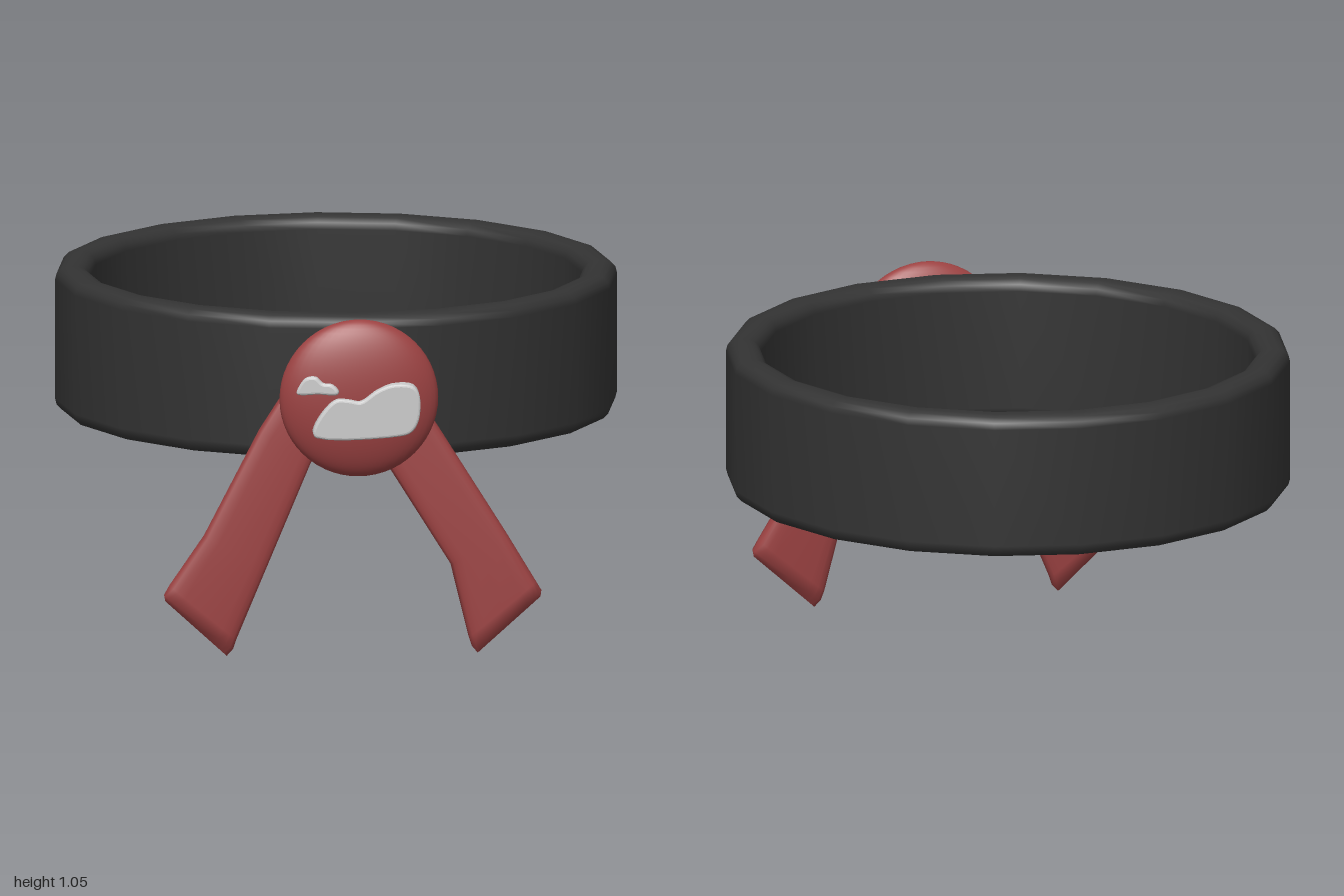
import * as THREE from 'three';

const mat = (color) => new THREE.MeshStandardMaterial({ color });

function addMesh(group, name, geometry, material) {
  const mesh = new THREE.Mesh(geometry, material);
  mesh.name = name;
  group.add(mesh);
  return mesh;
}

// Hoop: rounded-rectangle profile turned around y in 20 sides
function bandGeometry() {
  const r0 = 0.79, r1 = 0.9, y0 = 0.598, y1 = 1.045, c = 0.04;
  const corners = [[r1 - c, y0 + c, -90], [r1 - c, y1 - c, 0], [r0 + c, y1 - c, 90], [r0 + c, y0 + c, 180]];
  const pts = [];
  for (const [x, y, start] of corners) {
    for (let i = 0; i <= 3; i++) {
      const a = THREE.MathUtils.degToRad(start + i * 30);
      pts.push(new THREE.Vector2(x + c * Math.cos(a), y + c * Math.sin(a)));
    }
  }
  pts.push(pts[0].clone());
  return new THREE.LatheGeometry(pts, 20).scale(0.86 / 0.9, 1, 1).translate(0, 0, -0.1);
}

// Ribbon lofted downward through rows of [ax, ay, bx, by, z, half thickness]
function ribbonGeometry(rows) {
  const sides = 20, pos = [], idx = [];
  const soft = (v) => Math.sign(v) * Math.sqrt(Math.abs(v));
  for (const [ax, ay, bx, by, z, t] of rows) {
    for (let j = 0; j < sides; j++) {
      const a = (j / sides) * Math.PI * 2;
      const u = soft(Math.cos(a)) / 2;
      pos.push((ax + bx) / 2 + (bx - ax) * u, (ay + by) / 2 + (by - ay) * u, z + t * soft(Math.sin(a)));
    }
  }
  for (let i = 0; i < rows.length - 1; i++) {
    for (let j = 0; j < sides; j++) {
      const k = (j + 1) % sides;
      const a = i * sides + j, b = i * sides + k, c = b + sides, d = a + sides;
      idx.push(a, b, c, a, c, d);
    }
  }
  const g = new THREE.BufferGeometry();
  g.setAttribute('position', new THREE.Float32BufferAttribute(pos, 3));
  g.setIndex(idx);
  g.computeVertexNormals();
  return g;
}

// Raised patch: smooth closed outline, extruded with a soft rim, front at zFront
function patchGeometry(outline, depth, zFront, turn) {
  const curve = new THREE.CatmullRomCurve3(outline.map(([x, y]) => new THREE.Vector3(x, y, 0)), true, 'centripetal');
  const shape = new THREE.Shape(curve.getPoints(60).slice(0, -1).map((p) => new THREE.Vector2(p.x, p.y)));
  const bevel = 0.008;
  const g = new THREE.ExtrudeGeometry(shape, {
    depth: depth - bevel * 2, bevelThickness: bevel, bevelSize: bevel, bevelOffset: -bevel, bevelSegments: 3,
  });
  g.computeBoundingBox();
  const cx = (g.boundingBox.min.x + g.boundingBox.max.x) / 2;
  return g.translate(-cx, 0, 0).rotateY(turn).translate(cx, 0, zFront - depth + bevel);
}

export function createModel() {
  const group = new THREE.Group();
  const dark = mat(0x333333), red = mat(0x9c4242), grey = mat(0xcccccc);

  addMesh(group, 'band', bandGeometry(), dark);

  // Flattened round knot at the front
  const knot = addMesh(group, 'knot', new THREE.SphereGeometry(0.243, 40, 28), red);
  knot.scale.z = 0.075 / 0.243;
  knot.position.set(0, 0.81, 0.895);

  // Two hanging tails, slightly different in width
  addMesh(group, 'leftTail', ribbonGeometry([
    [-0.06, 0.93, 0.06, 0.98, 0.8, 0],
    [-0.07, 0.89, 0.08, 0.96, 0.8, 0.02],
    [0.085, 0.6, 0.245, 0.71, 0.815, 0.033],
    [0.285, 0.28, 0.455, 0.375, 0.825, 0.035],
    [0.34, 0.055, 0.545, 0.225, 0.832, 0.034],
    [0.35, 0.025, 0.563, 0.195, 0.833, 0.028],
    [0.368, 0.003, 0.56, 0.175, 0.833, 0],
  ]), red);
  addMesh(group, 'rightTail', ribbonGeometry([
    [-0.06, 0.98, 0.06, 0.93, 0.8, 0],
    [-0.13, 0.96, 0.05, 0.89, 0.8, 0.02],
    [-0.3, 0.7, -0.14, 0.6, 0.815, 0.033],
    [-0.47, 0.375, -0.275, 0.28, 0.825, 0.035],
    [-0.575, 0.225, -0.37, 0.055, 0.832, 0.034],
    [-0.592, 0.195, -0.38, 0.025, 0.833, 0.028],
    [-0.588, 0.175, -0.4, 0.003, 0.833, 0],
  ]), red);

  // Cloud-shaped patches on the knot
  addMesh(group, 'largeCloud', patchGeometry([
    [-0.135, 0.703], [-0.145, 0.72], [-0.12, 0.775], [-0.075, 0.82], [-0.035, 0.82], [0.0, 0.815],
    [0.05, 0.848], [0.1, 0.867], [0.16, 0.862], [0.18, 0.835], [0.178, 0.755], [0.155, 0.718], [0.11, 0.705],
  ], 0.06, 0.995, -0.03), grey);
  addMesh(group, 'smallCloud', patchGeometry([
    [-0.188, 0.835], [-0.18, 0.862], [-0.16, 0.885], [-0.13, 0.888], [-0.108, 0.87],
    [-0.08, 0.866], [-0.06, 0.845], [-0.064, 0.835], [-0.12, 0.835],
  ], 0.05, 0.973, -0.2), grey);

  return group;
}
